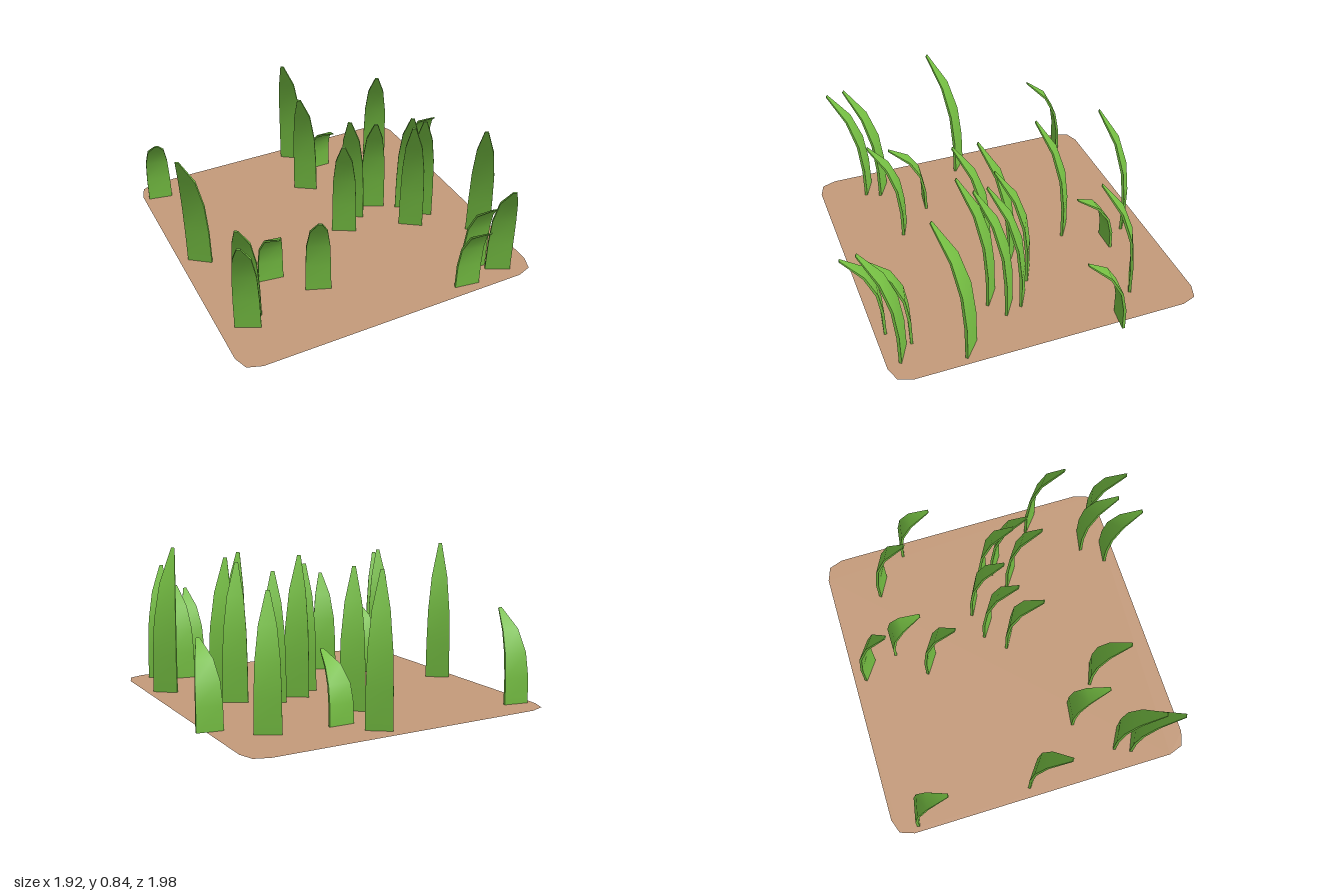
import * as THREE from 'three';
import { toCreasedNormals } from 'three/addons/utils/BufferGeometryUtils.js';

const soilMaterial = new THREE.MeshStandardMaterial({ color: 0xc49a7a, side: THREE.DoubleSide });
const grassMaterial = new THREE.MeshStandardMaterial({ color: 0x76c043 });

// Blades: root x, root z, tip x, tip z, height
const BLADES = [
  [-0.84, -0.84, -0.88, -0.63, 0.52],
  [0.12, -0.89, 0.0, -0.72, 0.81],
  [0.24, -0.71, 0.24, -0.5, 0.37],
  [0.65, -0.67, 0.55, -0.48, 0.71],
  [0.89, -0.48, 0.86, -0.27, 0.45],
  [0.05, -0.51, -0.06, -0.34, 0.78],
  [-0.83, -0.11, -0.95, 0.05, 0.83],
  [0.35, -0.14, 0.26, 0.04, 0.73],
  [0.18, -0.1, 0.07, 0.07, 0.81],
  [0.07, 0.01, -0.03, 0.19, 0.74],
  [0.54, -0.03, 0.44, 0.15, 0.78],
  [0.58, 0.07, 0.47, 0.24, 0.8],
  [0.47, 0.14, 0.36, 0.3, 0.82],
  [0.81, 0.38, 0.68, 0.54, 0.84],
  [-0.52, 0.23, -0.55, 0.44, 0.44],
  [-0.31, 0.43, -0.38, 0.61, 0.61],
  [-0.75, 0.45, -0.85, 0.63, 0.74],
  [-0.79, 0.54, -0.88, 0.73, 0.71],
  [0.59, 0.66, 0.55, 0.86, 0.56],
  [0.47, 0.78, 0.44, 0.98, 0.52],
  [0.71, 0.74, 0.62, 0.92, 0.69],
];
const BASE_WIDTH = 0.147;
const TAPER = [1, 0.98, 0.9, 0.66, 0.14];
const THICKNESS = [0.016, 0.016, 0.014, 0.012, 0.007];

// A thin tapered box bent forward (+z) along a cubic curve
function bladeGeometry(height, lean) {
  const geometry = new THREE.BoxGeometry(1, 1, 1, 1, 4, 1);
  const p = geometry.attributes.position;
  const k = 0.05 + 0.6 * Math.max(0, 0.83 - height);
  for (let i = 0; i < p.count; i++) {
    const t = p.getY(i) + 0.5;
    const ring = Math.round(t * 4);
    const dy = height * (1 + k - 2 * k * t);
    const dz = 3 * lean * t * t;
    const length = Math.hypot(dy, dz);
    const half = p.getZ(i) * THICKNESS[ring];
    p.setXYZ(
      i,
      p.getX(i) * BASE_WIDTH * TAPER[ring],
      height * t * (1 + k * (1 - t)) - (half * dz) / length,
      lean * t ** 3 + (half * dy) / length
    );
  }
  return toCreasedNormals(geometry, 0.75);
}

// Flat soil patch with clipped corners
function createSoil() {
  const halfX = 0.927, halfZ = 0.925;
  const corner = [[0, 0.115], [0.03, 0.03], [0.115, 0]];
  const points = [];
  for (const [sx, sz] of [[1, 1], [-1, 1], [-1, -1], [1, -1]]) {
    const cuts = sx * sz > 0 ? corner : [...corner].reverse();
    for (const [cx, cz] of cuts) points.push(new THREE.Vector2(sx * (halfX - cx), sz * (halfZ - cz)));
  }
  const soil = new THREE.Mesh(new THREE.ShapeGeometry(new THREE.Shape(points)), soilMaterial);
  soil.name = 'soilPatch';
  soil.rotation.x = -Math.PI / 2;
  soil.position.set(-0.017, 0, -0.076);
  return soil;
}

export function createModel() {
  const model = new THREE.Group();
  model.name = 'grassPatch';
  model.add(createSoil());

  // Grass blades, each turned towards its tip
  const grass = new THREE.Group();
  grass.name = 'grassBlades';
  BLADES.forEach(([x, z, tipX, tipZ, height], i) => {
    const dx = tipX - x, dz = tipZ - z;
    const blade = new THREE.Mesh(bladeGeometry(height, Math.hypot(dx, dz)), grassMaterial);
    blade.name = `grassBlade${i + 1}`;
    blade.position.set(x, 0, z);
    blade.rotation.y = Math.atan2(dx, dz);
    grass.add(blade);
  });
  model.add(grass);
  return model;
}
